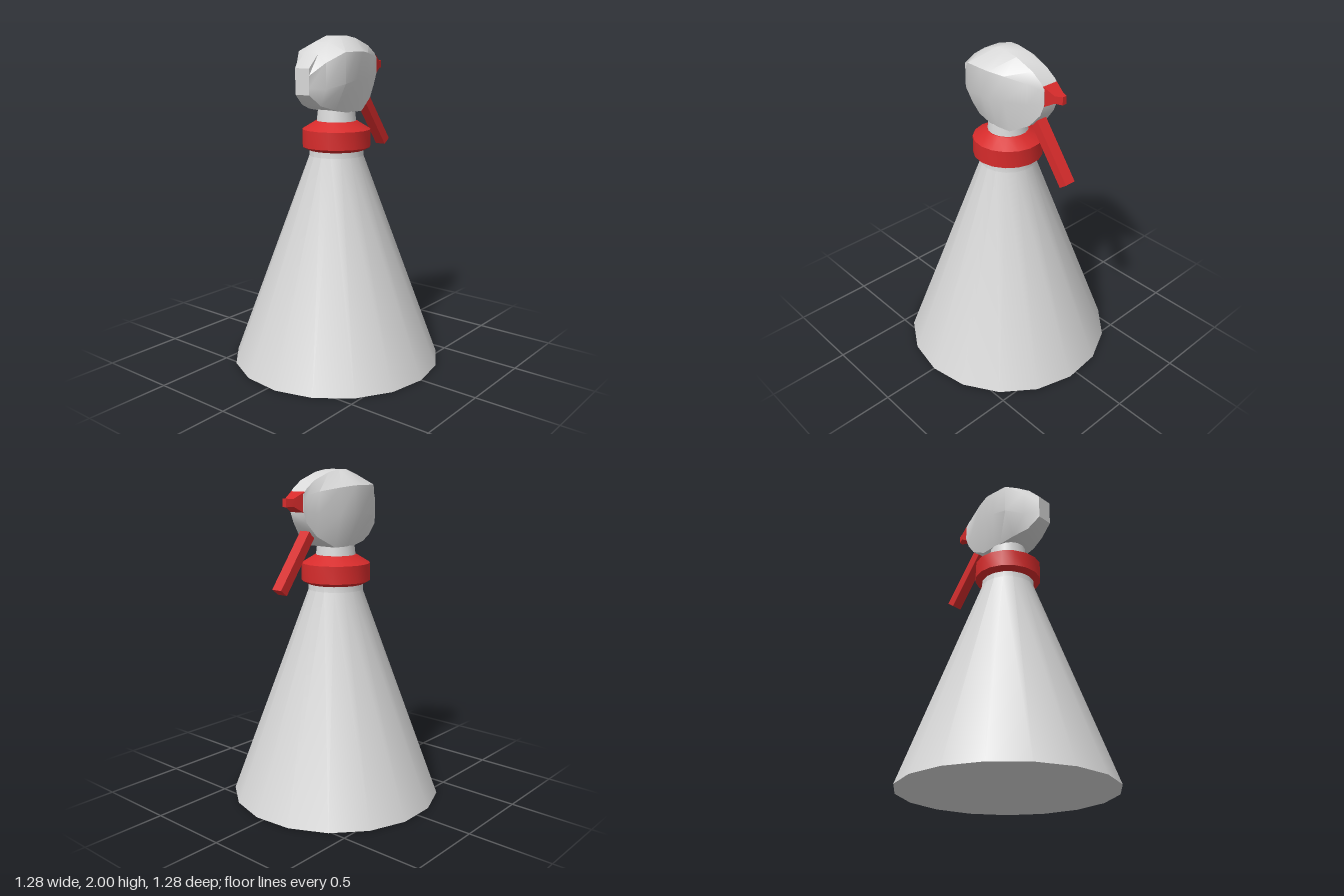
import * as THREE from 'three';
import { toCreasedNormals } from 'three/addons/utils/BufferGeometryUtils.js';

const SIDES = 17;

// Turned part from [radius, y] points, bottom to top
function turned(points) {
  const profile = points.map(([r, y]) => new THREE.Vector2(r, y));
  return toCreasedNormals(new THREE.LatheGeometry(profile, SIDES, Math.PI / 2), 0.5);
}

// Skin through rings of [x, y, z] points, ordered from front to back
function loft(rings, crease) {
  const n = rings[0].length, index = [];
  for (let s = 0; s < rings.length - 1; s++) {
    for (let i = 0; i < n; i++) {
      const j = (i + 1) % n, a = s * n, b = a + n;
      index.push(a + i, b + i, b + j, a + i, b + j, a + j);
    }
  }
  const last = (rings.length - 1) * n;
  for (let k = 1; k < n - 1; k++) {
    index.push(0, k, k + 1, last, last + k + 1, last + k);
  }
  const geo = new THREE.BufferGeometry();
  geo.setAttribute('position', new THREE.Float32BufferAttribute(rings.flat(2), 3));
  geo.setIndex(index);
  return toCreasedNormals(geo, crease);
}

export function createModel() {
  const group = new THREE.Group();
  const grey = new THREE.MeshStandardMaterial({ name: 'lightGrey', color: 0xd8d8d8 });
  const red = new THREE.MeshStandardMaterial({ name: 'red', color: 0xd62b2b });

  const add = (name, geo, mat) => {
    const mesh = new THREE.Mesh(geo, mat);
    mesh.name = name;
    group.add(mesh);
    return mesh;
  };

  // Conical bottle with a short straight mouth
  add('bottle', turned([[0, 0], [0.645, 0], [0.165, 1.29], [0.165, 1.35]]), grey);

  // Bevelled screw collar
  add('collar', turned([[0, 1.325], [0.17, 1.325], [0.207, 1.345], [0.207, 1.45],
    [0.125, 1.5], [0, 1.5]]), red);

  // Neck between collar and head
  add('neck', turned([[0.122, 1.48], [0.108, 1.6]]), grey);

  // Spray head: z, top, upper side, lower side, bottom, side half width, bottom half width
  const stations = [
    [0.31, 1.82, 1.78, 1.71, 1.67, 0.052, 0.052],
    [0.23, 1.9, 1.85, 1.7, 1.605, 0.108, 0.07],
    [0.135, 1.965, 1.91, 1.73, 1.575, 0.177, 0.1],
    [0.03, 2.0, 1.91, 1.75, 1.555, 0.177, 0.11],
    [-0.03, 2.0, 1.91, 1.75, 1.555, 0.175, 0.11],
    [-0.12, 1.985, 1.9, 1.75, 1.555, 0.145, 0.1],
    [-0.245, 1.94, 1.88, 1.76, 1.625, 0.092, 0.07],
    [-0.31, 1.895, 1.86, 1.77, 1.705, 0.06, 0.052],
    [-0.335, 1.865, 1.84, 1.79, 1.77, 0.052, 0.052],
  ];
  const headRings = stations.map(([z, top, up, low, bottom, w, wb]) => {
    const right = [[wb, bottom, z], [w, low, z], [w, up, z], [0.052, top, z]];
    const left = right.map(([x, y]) => [-x, y, z]).reverse();
    return [...right, ...left];
  });
  add('head', loft(headRings, 0.65), grey);

  // Nozzle: z, half width, bottom, top
  const nozzleRings = [
    [-0.325, 0.052, 1.76, 1.88],
    [-0.395, 0.032, 1.8, 1.842],
    [-0.435, 0.014, 1.798, 1.845],
  ].map(([z, w, b, t]) => [[w, b, z], [w, t, z], [-w, t, z], [-w, b, z]]);
  add('nozzle', loft(nozzleRings, 0.2), red);

  // Slanted trigger lever
  const trigger = add('trigger', new THREE.BoxGeometry(0.07, 0.394, 0.057), red);
  trigger.position.set(0, 1.483, -0.364);
  trigger.rotation.x = 0.645;

  group.position.x = -0.006;
  return group;
}
